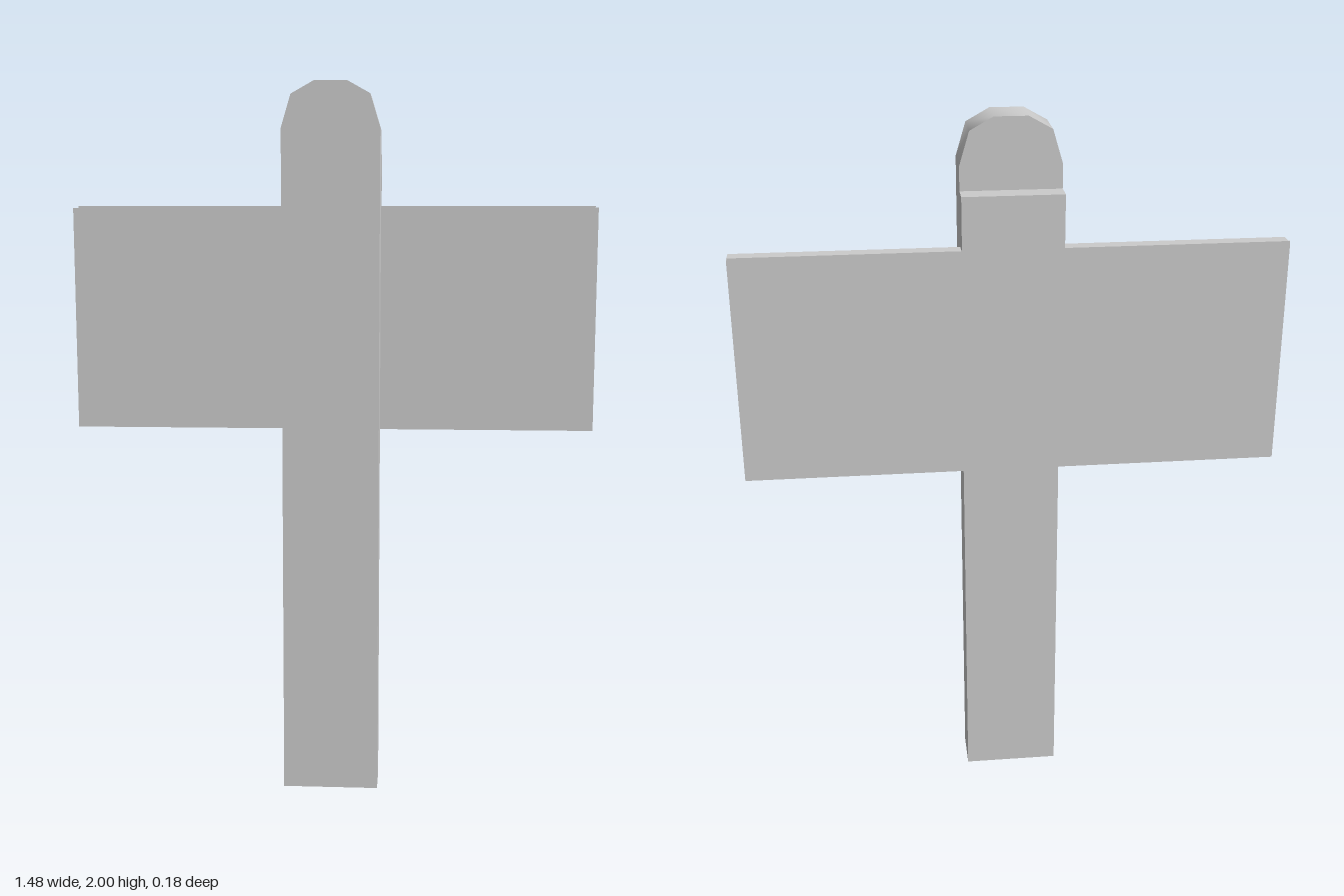
import * as THREE from 'three';
import { toCreasedNormals } from 'three/addons/utils/BufferGeometryUtils.js';

export function createModel() {
  const group = new THREE.Group();
  group.name = 'signpost';
  const material = new THREE.MeshStandardMaterial({ color: 0xcccccc });

  const add = (name, geometry) => {
    const mesh = new THREE.Mesh(geometry, material);
    mesh.name = name;
    group.add(mesh);
  };
  // Box given by its half width and its y and z limits
  const slab = (name, halfWidth, y0, y1, z0, z1) =>
    add(name, new THREE.BoxGeometry(2 * halfWidth, y1 - y0, z1 - z0)
      .translate(0, (y0 + y1) / 2, (z0 + z1) / 2));

  // Upright post with a faceted round top, smooth along the curve
  const side = [[0.135, 0], [0.135, 1.875], [0.108, 1.965], [0.045, 2]];
  const outline = [...side, ...side.map(([x, y]) => [-x, y]).reverse()];
  const shape = new THREE.Shape(outline.map(([x, y]) => new THREE.Vector2(x, y)));
  const post = new THREE.ExtrudeGeometry(shape, { depth: 0.12, bevelEnabled: false });
  post.translate(0, 0, -0.03);
  add('post', toCreasedNormals(post, THREE.MathUtils.degToRad(50)));

  // Wide board behind the post, with a thin back sheet set slightly higher
  slab('board', 0.74, 1.035, 1.662, -0.085, -0.03);
  slab('backSheet', 0.738, 1.041, 1.668, -0.09, -0.085);

  // Mounting block rising above the board
  slab('mountingBlock', 0.135, 1.662, 1.81, -0.09, -0.03);

  return group;
}
